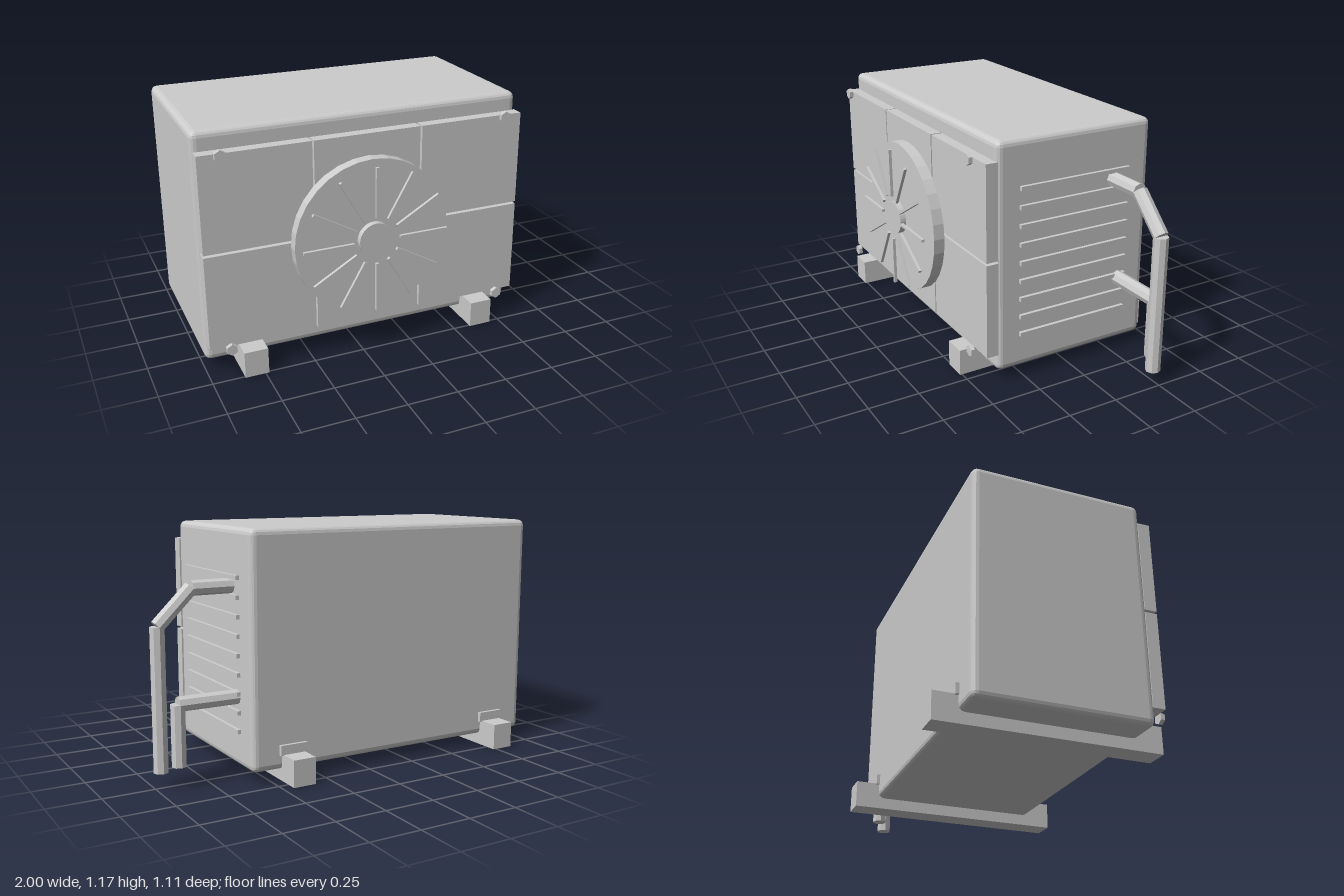
import * as THREE from 'three';
import { RoundedBoxGeometry } from 'three/addons/geometries/RoundedBoxGeometry.js';

export function createModel() {
  const model = new THREE.Group();
  model.name = 'outdoorCoolingUnit';
  const grey = new THREE.MeshStandardMaterial({ color: 0xcccccc, flatShading: true });
  grey.name = 'grey';

  const add = (name, geometry, parent = model) => {
    const mesh = new THREE.Mesh(geometry, grey);
    mesh.name = name;
    parent.add(mesh);
    return mesh;
  };
  // Box given by its limits on each axis
  const box = (name, [x0, x1], [y0, y1], [z0, z1], parent) => {
    const mesh = add(name, new THREE.BoxGeometry(x1 - x0, y1 - y0, z1 - z0), parent);
    mesh.position.set((x0 + x1) / 2, (y0 + y1) / 2, (z0 + z1) / 2);
    return mesh;
  };
  // Disc facing the front
  const disc = (name, x, y, [z0, z1], radius, sides) => {
    const mesh = add(name, new THREE.CylinderGeometry(radius, radius, z1 - z0, sides).rotateX(Math.PI / 2));
    mesh.position.set(x, y, (z0 + z1) / 2);
    return mesh;
  };

  // Casing
  add('casing', new RoundedBoxGeometry(1.6, 1.12, 0.83, 2, 0.03)).position.set(-0.2, 0.615, -0.025);

  // Front panels, three columns by two rows with narrow seams
  for (const x of [[-0.99, -0.47], [-0.462, 0.062], [0.072, 0.6]])
    for (const y of [[0.145, 0.61], [0.622, 1.085]]) box('frontPanel', x, y, [0.385, 0.445]);

  // Corner bolts
  for (const x of [-0.895, 0.495])
    for (const y of [0.145, 1.085]) disc('bolt', x, y, [0.465, 0.485], 0.028, 6);

  // Fan cover, hub and radial bars
  const fanX = -0.2, fanY = 0.595;
  disc('fanCover', fanX, fanY, [0.445, 0.5], 0.385, 32);
  disc('fanHub', fanX, fanY, [0.51, 0.54], 0.083, 32);
  const bars = new THREE.Group();
  bars.name = 'fanBars';
  bars.position.set(fanX, fanY, 0.547);
  model.add(bars);
  for (let i = 0; i < 12; i++) {
    const bar = add('fanBar', new THREE.BoxGeometry(0.245, 0.014, 0.015).translate(0.238, 0, 0), bars);
    bar.rotation.z = (i * Math.PI) / 6;
  }

  // Side louvres
  for (let i = 0; i < 9; i++) {
    const y = 0.228 + i * 0.09;
    box('louvre', [0.59, 0.617], [y - 0.01, y + 0.01], [-0.318, 0.275]);
  }

  // Support rails with brackets front and back
  for (const x of [-0.79, 0.393]) {
    box('supportRail', [x - 0.057, x + 0.057], [0, 0.13], [-0.555, 0.51]);
    box('frontBracket', [x - 0.07, x + 0.07], [0.125, 0.175], [0.38, 0.412]);
    box('rearBracket', [x - 0.07, x + 0.07], [0.125, 0.175], [-0.457, -0.43]);
  }

  // Pipes: straight octagonal lengths between points
  const pipe = (name, radius, z, points) => {
    const group = new THREE.Group();
    group.name = name;
    model.add(group);
    for (let i = 0; i + 1 < points.length; i++) {
      const a = new THREE.Vector3(...points[i], z);
      const b = new THREE.Vector3(...points[i + 1], z);
      const dir = b.clone().sub(a);
      const part = add('pipeLength', new THREE.CylinderGeometry(radius, radius, dir.length(), 8), group);
      part.position.copy(a).add(b).multiplyScalar(0.5);
      part.rotation.z = Math.atan2(-dir.x, dir.y);
    }
  };
  pipe('upperPipe', 0.036, -0.235, [[0.58, 0.905], [0.8, 0.905], [0.965, 0.742], [0.965, 0.07]]);
  pipe('lowerPipe', 0.036, -0.282, [[0.58, 0.39], [0.895, 0.39], [0.895, 0.1]]);

  return model;
}
